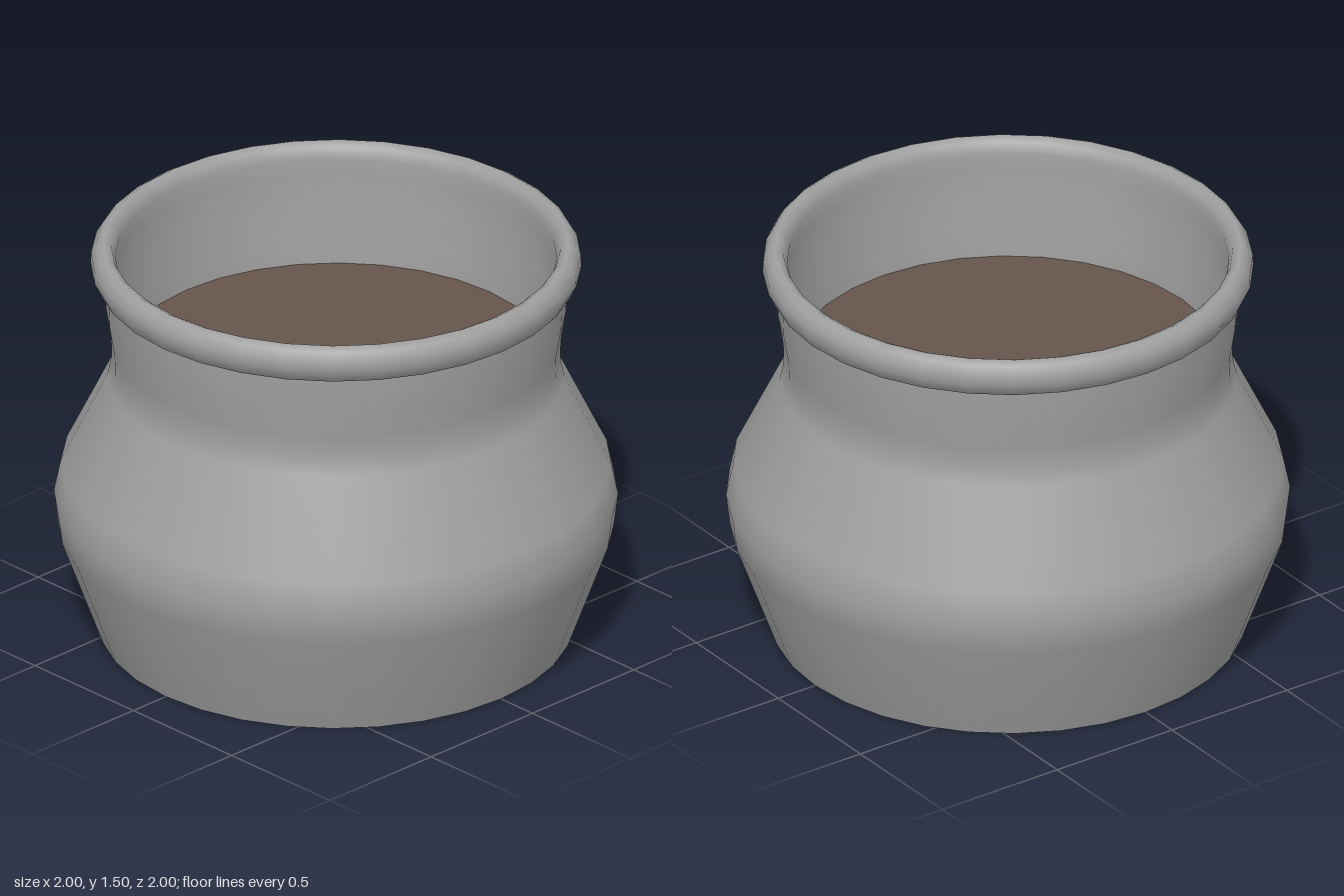
import * as THREE from 'three';

const SEGMENTS = 32;

export function createModel() {
  const clay = new THREE.MeshStandardMaterial({ color: 0xa0a0a0 });
  clay.name = 'grey clay';
  const soil = new THREE.MeshStandardMaterial({ color: 0x66554b });
  soil.name = 'brown soil';

  const pot = new THREE.Group();
  pot.name = 'pot';

  const add = (name, geometry, material) => {
    const mesh = new THREE.Mesh(geometry, material);
    mesh.name = name;
    pot.add(mesh);
    return mesh;
  };
  const turned = (points) =>
    new THREE.LatheGeometry(points.map(([r, y]) => new THREE.Vector2(r, y)), SEGMENTS);

  // Outer wall: flared base, round belly, pinched neck
  add('body', turned([
    [0.84, 0], [0.985, 0.4], [1, 0.52], [0.975, 0.64],
    [0.81, 0.98], [0.795, 1.05], [0.797, 1.13], [0.815, 1.24], [0.82, 1.375],
  ]), clay);

  // Rolled rim, from its underside over the crest to the inside
  add('rim', turned([
    [0.815, 1.37], [0.848, 1.375], [0.87, 1.42], [0.868, 1.46],
    [0.85, 1.49], [0.825, 1.505], [0.797, 1.49], [0.783, 1.45], [0.783, 1.38],
  ]), clay);

  // Inner wall, seen above the soil
  add('innerWall', turned([[0.783, 1.38], [0.778, 1.25], [0.762, 1.13], [0.758, 1.04]]), clay);

  // Flat base underneath
  add('base', new THREE.CircleGeometry(0.84, SEGMENTS).rotateX(Math.PI / 2), clay);

  // Soil filling the pot up to the neck
  const fill = add('soil', new THREE.CircleGeometry(0.765, SEGMENTS).rotateX(-Math.PI / 2), soil);
  fill.position.y = 1.05;

  return pot;
}
